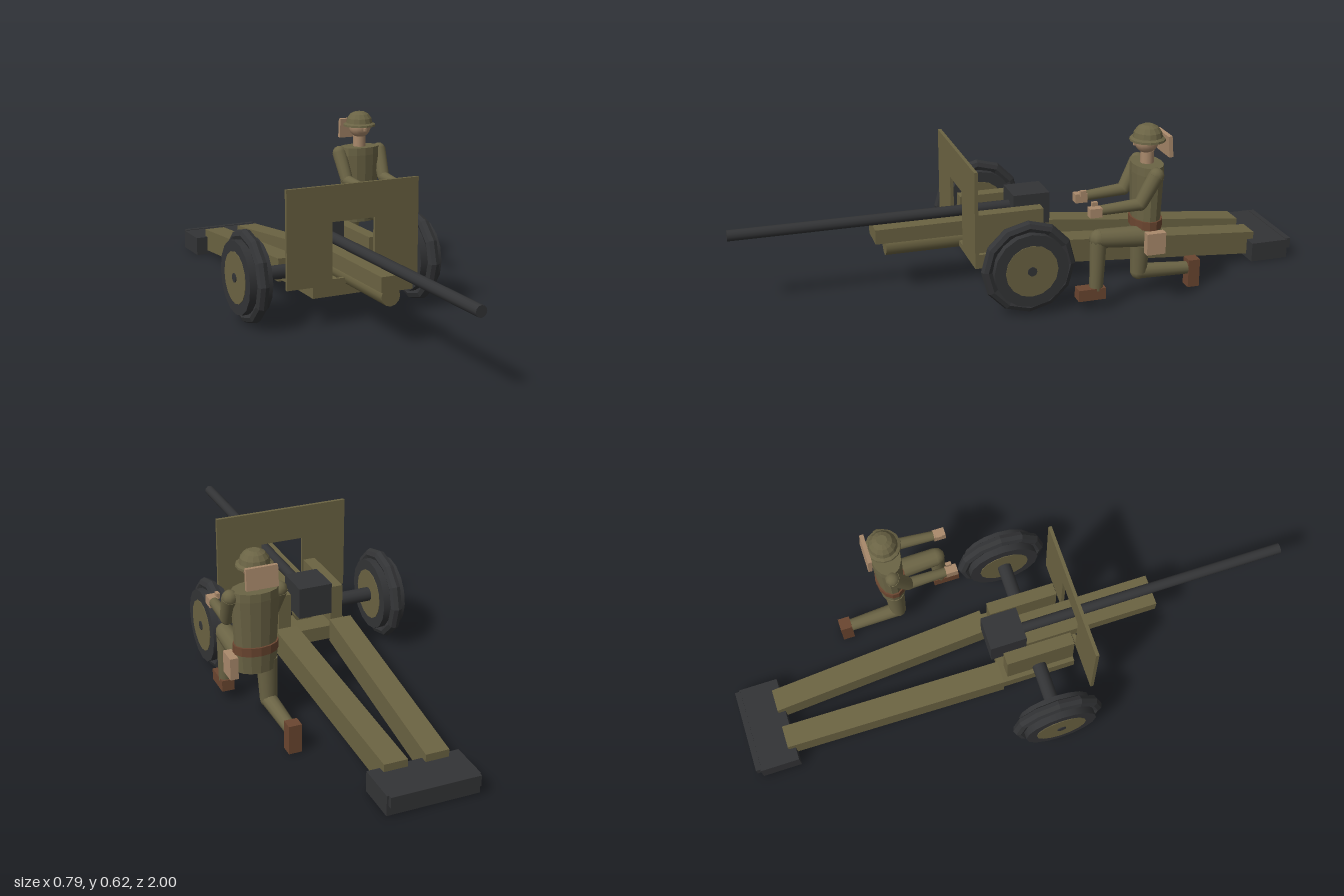
import * as THREE from 'three';

const mat = (name, color) => {
  const m = new THREE.MeshStandardMaterial({ color });
  m.name = name;
  return m;
};

export function createModel() {
  const olive = mat('olive', 0x6b6342);
  const cloth = mat('uniform olive', 0x6b6445);
  const steel = mat('dark steel', 0x333436);
  const skin = mat('skin', 0xaa8a6c);
  const brown = mat('brown leather', 0x6b4630);
  const model = new THREE.Group();
  const gun = new THREE.Group();
  const soldier = new THREE.Group();
  gun.name = 'fieldGun';
  soldier.name = 'kneelingSoldier';
  model.add(gun, soldier);

  const add = (parent, name, geo, material, x = 0, y = 0, z = 0) => {
    const m = new THREE.Mesh(geo, material);
    m.name = name;
    m.position.set(x, y, z);
    parent.add(m);
    return m;
  };
  // Box given by its low and high corners
  const box = (parent, name, material, [x0, y0, z0], [x1, y1, z1]) =>
    add(parent, name, new THREE.BoxGeometry(x1 - x0, y1 - y0, z1 - z0), material,
      (x0 + x1) / 2, (y0 + y1) / 2, (z0 + z1) / 2);
  // Round bar between two points
  const bar = (parent, name, material, a, b, r0, r1 = r0, sides = 12) => {
    const p = new THREE.Vector3(...a), q = new THREE.Vector3(...b);
    const d = q.clone().sub(p);
    const m = add(parent, name, new THREE.CylinderGeometry(r1, r0, d.length(), sides), material);
    m.position.copy(p).add(q).multiplyScalar(0.5);
    m.quaternion.setFromUnitVectors(new THREE.Vector3(0, 1, 0), d.normalize());
    return m;
  };
  const flat = (geo) => {
    const g = geo.toNonIndexed();
    g.computeVertexNormals();
    return g;
  };

  // ---- Gun, centred on its own axis ----
  const gx = -0.035;
  gun.position.x = gx;
  bar(gun, 'barrel', steel, [0, 0.263, 0], [0, 0.263, 1], 0.019);
  bar(gun, 'bore', steel, [0, 0.263, 0.9], [0, 0.263, 0.998], 0.012);
  box(gun, 'breech', steel, [-0.06, 0.205, -0.1], [0.06, 0.317, 0.03]);
  box(gun, 'cradle', olive, [-0.056, 0.194, 0.02], [0.056, 0.245, 0.515]);
  bar(gun, 'recoilCylinder', olive, [0, 0.165, 0], [0, 0.165, 0.475], 0.034);
  box(gun, 'carriageBed', olive, [-0.135, 0.095, -0.08], [0.135, 0.145, 0.185]);
  bar(gun, 'axle', steel, [-0.32, 0.165, 0.058], [0.32, 0.165, 0.058], 0.025);

  // Shield with the opening for the barrel
  const shape = new THREE.Shape();
  shape.moveTo(-0.245, 0.145).lineTo(0.245, 0.145).lineTo(0.245, 0.483).lineTo(-0.245, 0.483).closePath();
  const slot = new THREE.Path();
  slot.moveTo(-0.079, 0.165).lineTo(-0.079, 0.36).lineTo(0.079, 0.36).lineTo(0.079, 0.165).closePath();
  shape.holes.push(slot);
  add(gun, 'shield', new THREE.ExtrudeGeometry(shape, { depth: 0.012, bevelEnabled: false }), olive, 0, 0, 0.207);

  for (const s of [-1, 1]) {
    const side = s > 0 ? 'left' : 'right';
    // Cheek plates beside the breech
    box(gun, side + 'Cheek', olive, [s * 0.097 - 0.022, 0.122, -0.06], [s * 0.097 + 0.022, 0.283, 0.185]);

    // Trail leg: a box sheared so it drops and converges toward the rear
    const leg = new THREE.BoxGeometry(0.08, 1, 0.79);
    const p = leg.attributes.position;
    for (let i = 0; i < p.count; i++) {
      const rear = p.getZ(i) < 0, top = p.getY(i) > 0;
      p.setX(i, p.getX(i) + s * (rear ? 0.07 : 0.102));
      p.setY(i, top ? (rear ? 0.096 : 0.17) : (rear ? 0.012 : 0.087));
    }
    leg.computeVertexNormals();
    add(gun, side + 'Trail', leg, olive, 0, 0, -0.475);

    // Wheel
    const wheel = new THREE.Group();
    wheel.name = side + 'Wheel';
    wheel.position.set(s * 0.32, 0.165, 0.058);
    wheel.rotation.y = Math.PI / 2;
    gun.add(wheel);
    add(wheel, 'tyre', flat(new THREE.TorusGeometry(0.142, 0.021, 8, 12)), steel);
    bar(wheel, 'rim', steel, [0, 0, -0.041], [0, 0, 0.041], 0.128, 0.128, 16);
    for (const f of [-1, 1]) {
      bar(wheel, 'wheelDisc', olive, [0, 0, f * 0.039], [0, 0, f * 0.043], 0.09, 0.09, 16);
      bar(wheel, 'hubCap', steel, [0, 0, f * 0.04], [0, 0, f * 0.046], 0.016);
    }
  }

  // Spade at the rear end of the trails
  box(gun, 'spade', steel, [-0.156, 0, -0.985], [0.156, 0.07, -0.845]);
  box(gun, 'spadeBlade', steel, [-0.15, 0.035, -1], [0.15, 0.072, -0.98]);

  // ---- Soldier ----
  const sx = 0.282, sz = -0.352;
  soldier.position.set(sx, 0, sz);
  const lathe = (name, pts, material, rz = 1, sides = 14) => {
    const g = new THREE.LatheGeometry(pts.map(([r, y]) => new THREE.Vector2(r, y)), sides);
    const m = add(soldier, name, flat(g), material);
    m.scale.z = rz;
    return m;
  };
  lathe('tunic', [[0, 0.285], [0.07, 0.285], [0.08, 0.46], [0.078, 0.488], [0, 0.488]], cloth, 0.66);
  lathe('belt', [[0, 0.27], [0.076, 0.27], [0.076, 0.3], [0, 0.3]], brown, 0.7);
  lathe('hips', [[0, 0.2], [0.068, 0.205], [0.073, 0.271], [0, 0.271]], cloth, 0.68);
  bar(soldier, 'neck', skin, [0, 0.485, 0], [0, 0.53, 0], 0.023);
  add(soldier, 'head', new THREE.SphereGeometry(0.041, 16, 12), skin, 0, 0.563, 0.004);
  box(soldier, 'nose', skin, [-0.005, 0.55, 0.04], [0.005, 0.562, 0.05]);
  lathe('helmet', [[0, 0.567], [0.061, 0.565], [0.06, 0.572], [0.05, 0.577],
    [0.046, 0.594], [0.034, 0.61], [0.018, 0.618], [0, 0.618]], cloth);
  const flap = box(soldier, 'neckFlap', skin, [-0.053, 0.514, -0.068], [0.053, 0.586, -0.054]);
  flap.rotation.x = 0.08;
  box(soldier, 'hipPouch', skin, [0.072, 0.195, -0.036], [0.1, 0.27, 0.03]);

  // Arms reaching forward
  for (const s of [-1, 1]) {
    const side = s > 0 ? 'left' : 'right';
    const shoulder = [s * 0.083, 0.468, 0], elbow = [s * 0.077, 0.372, 0.05];
    const wrist = [s * 0.072, 0.364, 0.185];
    add(soldier, side + 'Shoulder', new THREE.SphereGeometry(0.026, 10, 8), cloth, ...shoulder);
    bar(soldier, side + 'UpperArm', cloth, shoulder, elbow, 0.027, 0.023);
    add(soldier, side + 'Elbow', new THREE.SphereGeometry(0.022, 10, 8), cloth, ...elbow);
    bar(soldier, side + 'Forearm', cloth, elbow, wrist, 0.021, 0.017);
    box(soldier, side + 'Hand', skin, [s * 0.072 - 0.015, 0.345, 0.185], [s * 0.072 + 0.015, 0.376, 0.227]);
    box(soldier, side + 'Thumb', skin, [s * 0.055 - 0.006, 0.37, 0.192], [s * 0.055 + 0.006, 0.389, 0.212]);
  }

  // Front leg, knee raised
  const hipL = [0.037, 0.24, 0], kneeL = [0.04, 0.252, 0.18];
  bar(soldier, 'leftThigh', cloth, hipL, kneeL, 0.037, 0.032);
  add(soldier, 'leftKnee', new THREE.SphereGeometry(0.031, 10, 8), cloth, ...kneeL);
  bar(soldier, 'leftShin', cloth, kneeL, [0.04, 0.07, 0.185], 0.029, 0.023);
  box(soldier, 'leftBoot', brown, [0.018, 0.04, 0.157], [0.062, 0.08, 0.252]);

  // Rear leg, kneeling
  const kneeR = [-0.042, 0.078, 0];
  bar(soldier, 'rightThigh', cloth, [-0.037, 0.235, 0], kneeR, 0.036, 0.029);
  add(soldier, 'rightKnee', new THREE.SphereGeometry(0.029, 10, 8), cloth, ...kneeR);
  bar(soldier, 'rightShin', cloth, kneeR, [-0.045, 0.066, -0.185], 0.027, 0.022);
  box(soldier, 'rightBoot', brown, [-0.067, 0, -0.222], [-0.023, 0.1, -0.18]);

  return model;
}
